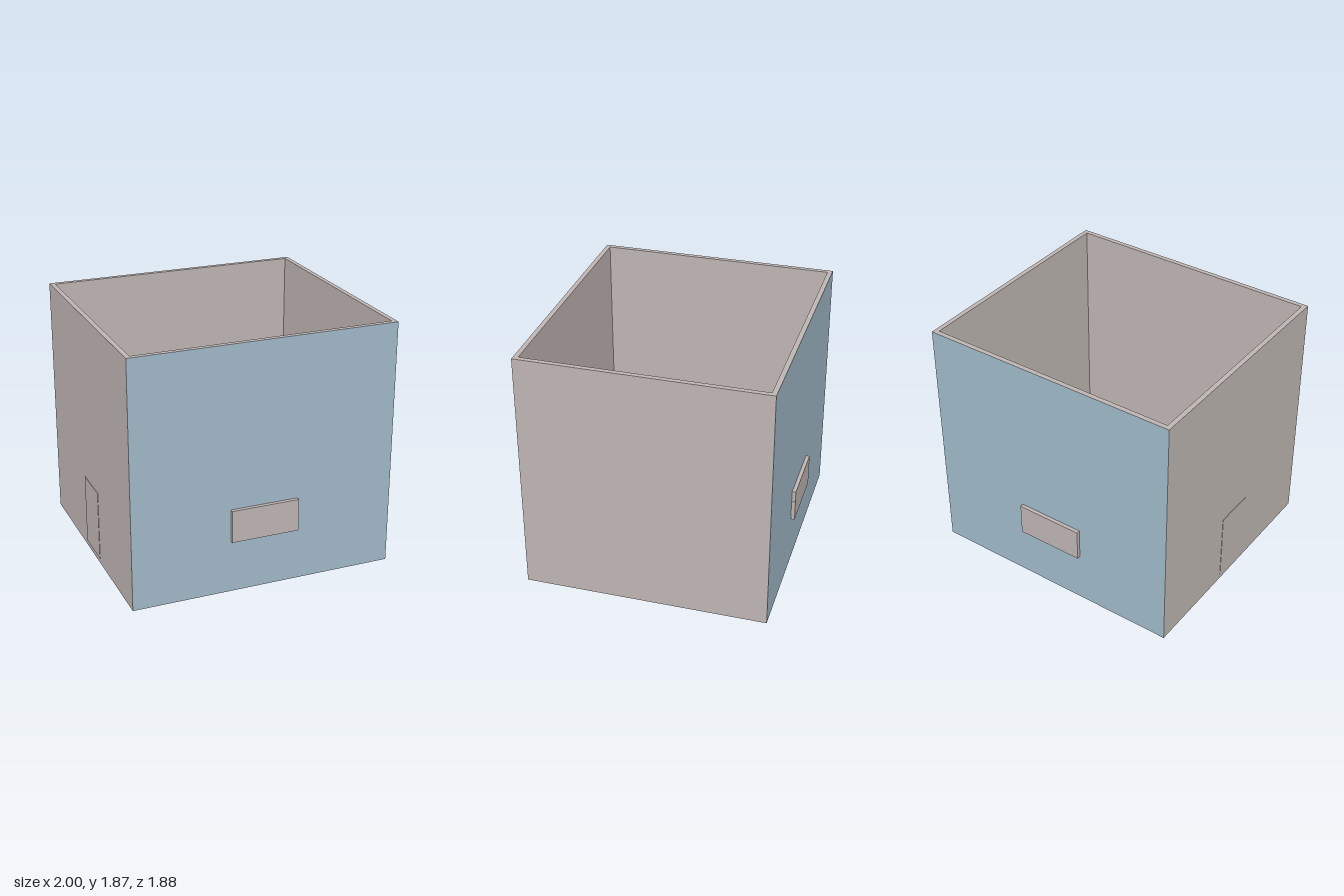
import * as THREE from 'three';

export function createModel() {
  const model = new THREE.Group();
  model.name = 'openBox';

  const grey = new THREE.MeshStandardMaterial({ color: 0xbeb5b2 });
  grey.name = 'warmGrey';
  const blue = new THREE.MeshStandardMaterial({ color: 0xa0b9c9 });
  blue.name = 'dustyBlue';

  // Box given by its lower and upper corners
  function block(name, lo, hi, material = grey) {
    const size = hi.map((v, i) => v - lo[i]);
    const mesh = new THREE.Mesh(new THREE.BoxGeometry(...size), material);
    mesh.position.set(...hi.map((v, i) => (v + lo[i]) / 2));
    mesh.name = name;
    model.add(mesh);
    return mesh;
  }

  const X = 0.997, Z = 0.91, H = 1.865, wall = 0.036;

  // Floor between the walls
  block('floor', [-X + wall, 0, -Z + wall], [X - wall, wall, Z - wall]);

  // Side walls
  block('leftWall', [X - wall, 0, -Z + wall], [X, H, Z - wall]);
  block('rightWall', [-X, 0, -Z + wall], [-X + wall, H, Z - wall]);

  for (const [side, s] of [['front', 1], ['back', -1]]) {
    // End wall, blue only on its outer face
    const faces = Array(6).fill(grey);
    faces[s > 0 ? 4 : 5] = blue;
    const zIn = s * (Z - wall), zOut = s * Z;
    block(side + 'Wall', [-X, 0, Math.min(zIn, zOut)], [X, H, Math.max(zIn, zOut)], faces);

    // Raised plate with a tiny nub on one end
    const zFace = s * 0.938;
    block(side + 'Plate', [-0.26, 0.4, Math.min(zOut, zFace)], [0.253, 0.645, Math.max(zOut, zFace)]);
    const nub = block(side + 'PlateNub', [0.25, 0.535, -0.008], [0.258, 0.56, 0.008]);
    nub.position.z = s * 0.924;
  }

  // Low door set through the right wall, slightly proud on both sides
  block('door', [-1, 0.04, -0.15], [-0.957, 0.575, 0.165]);

  return model;
}
